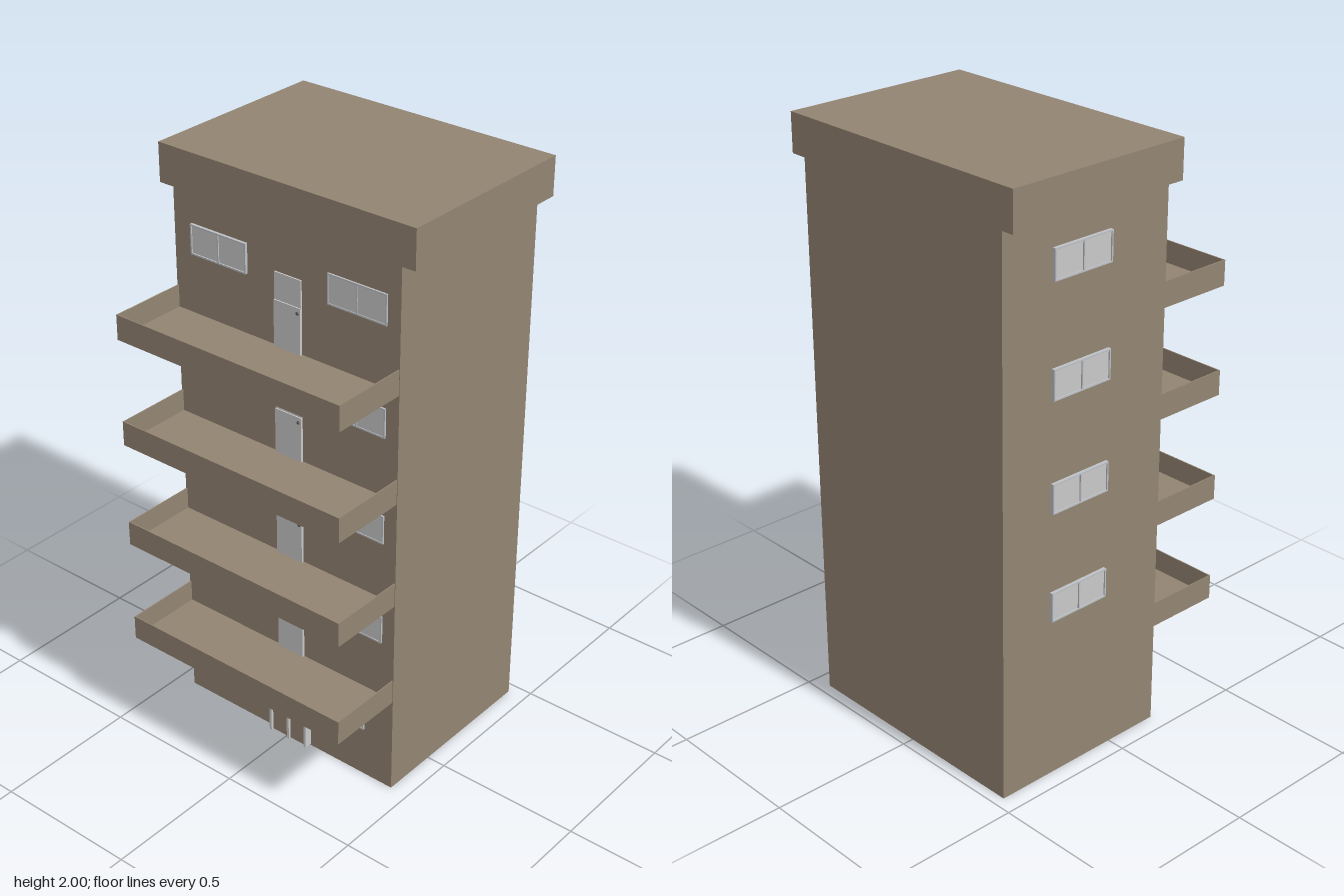
import * as THREE from 'three';

const wallMat = new THREE.MeshStandardMaterial({ color: 0x938472 });
wallMat.name = 'wall';
const paneMat = new THREE.MeshStandardMaterial({ color: 0xc9c9c9 });
paneMat.name = 'pane';
const frameMat = new THREE.MeshStandardMaterial({ color: 0xbcc0c4 });
frameMat.name = 'frame';
const knobMat = new THREE.MeshStandardMaterial({ color: 0x55524e });
knobMat.name = 'knob';

// Box given by its lower and upper limits on each axis
function block(parent, name, mat, x0, x1, y0, y1, z0, z1) {
  const mesh = new THREE.Mesh(new THREE.BoxGeometry(x1 - x0, y1 - y0, z1 - z0), mat);
  mesh.position.set((x0 + x1) / 2, (y0 + y1) / 2, (z0 + z1) / 2);
  mesh.name = name;
  parent.add(mesh);
  return mesh;
}

// Window centred on its own origin, facing +z, with its back at z = 0
function makeWindow(name, w, h, panes, depth) {
  const g = new THREE.Group();
  g.name = name;
  const t = 0.005;
  const x = w / 2, y = h / 2;
  block(g, 'sill', frameMat, -x, x, -y, -y + t, 0, depth);
  block(g, 'lintel', frameMat, -x, x, y - t, y, 0, depth);
  for (let i = 0; i <= panes; i++) {
    const px = -x + t / 2 + (i * (w - t)) / panes;
    block(g, 'mullion', frameMat, px - t / 2, px + t / 2, -y + t, y - t, 0, depth);
  }
  block(g, 'glass', paneMat, -x + t, x - t, -y + t, y - t, 0, depth * 0.6);
  return g;
}

function makeKnob(x, y, z) {
  const knob = new THREE.Mesh(new THREE.SphereGeometry(0.006, 12, 8), knobMat);
  knob.name = 'doorKnob';
  knob.position.set(x, y, z);
  return knob;
}

// Open tray: floor, front parapet and two side parapets
function makeBalcony(y) {
  const g = new THREE.Group();
  g.name = 'balcony';
  const t = 0.004, x0 = -0.435, x1 = 0.432, z1 = 0.467;
  block(g, 'balconyFloor', wallMat, x0, x1, y, y + 0.01, 0.195, z1);
  block(g, 'frontParapet', wallMat, x0, x1, y + 0.01, y + 0.085, z1 - t, z1);
  block(g, 'sideParapet', wallMat, x0, x0 + t, y + 0.01, y + 0.085, 0.195, z1 - t);
  block(g, 'sideParapet', wallMat, x1 - t, x1, y + 0.01, y + 0.085, 0.195, z1 - t);
  return g;
}

function makeBalconyDoor(y) {
  const g = new THREE.Group();
  g.name = 'balconyDoor';
  block(g, 'lowerDoor', paneMat, -0.035, 0.068, y + 0.01, y + 0.165, 0.195, 0.207);
  block(g, 'upperDoor', paneMat, -0.035, 0.068, y + 0.165, y + 0.255, 0.195, 0.203);
  g.add(makeKnob(0.058, y + 0.147, 0.206));
  return g;
}

export function createModel() {
  const model = new THREE.Group();
  model.name = 'apartmentBlock';
  const front = 0.198;

  block(model, 'body', wallMat, -0.437, 0.434, 0, 1.872, -0.462, front);
  block(model, 'roof', wallMat, -0.487, 0.485, 1.87, 2, -0.467, 0.203);

  // Upper floors
  for (let i = 0; i < 4; i++) {
    const y = 0.347 + i * 0.37;
    model.add(makeBalcony(y), makeBalconyDoor(y));

    const left = makeWindow('frontWindow', 0.222, 0.1, 2, 0.01);
    left.position.set(-0.254, y + 0.262, front);
    const right = makeWindow('frontWindow', 0.218, 0.1, 2, 0.006);
    right.position.set(0.278, y + 0.262, front);
    const side = makeWindow('sideWindow', 0.23, 0.1, 2, 0.012);
    side.rotation.y = -Math.PI / 2;
    side.position.set(-0.437, y + 0.264, -0.155);
    model.add(left, right, side);
  }

  // Ground floor windows
  for (const x of [-0.26, 0.265]) {
    const win = makeWindow('groundWindow', 0.112, 0.096, 1, 0.008);
    win.position.set(x, 0.233, front);
    model.add(win);
  }

  // Entrance with double door
  const entrance = new THREE.Group();
  entrance.name = 'entrance';
  block(entrance, 'doorLeaves', wallMat, -0.06, 0.088, 0.005, 0.2, front - 0.003, 0.216);
  block(entrance, 'doorHead', paneMat, -0.066, 0.094, 0.2, 0.214, front, 0.228);
  for (const x of [-0.06, 0.016, 0.09]) {
    block(entrance, 'doorPost', paneMat, x - 0.005, x + 0.004, 0.005, 0.2, front, 0.225);
  }
  entrance.add(makeKnob(-0.048, 0.105, 0.218));
  model.add(entrance);

  return model;
}
